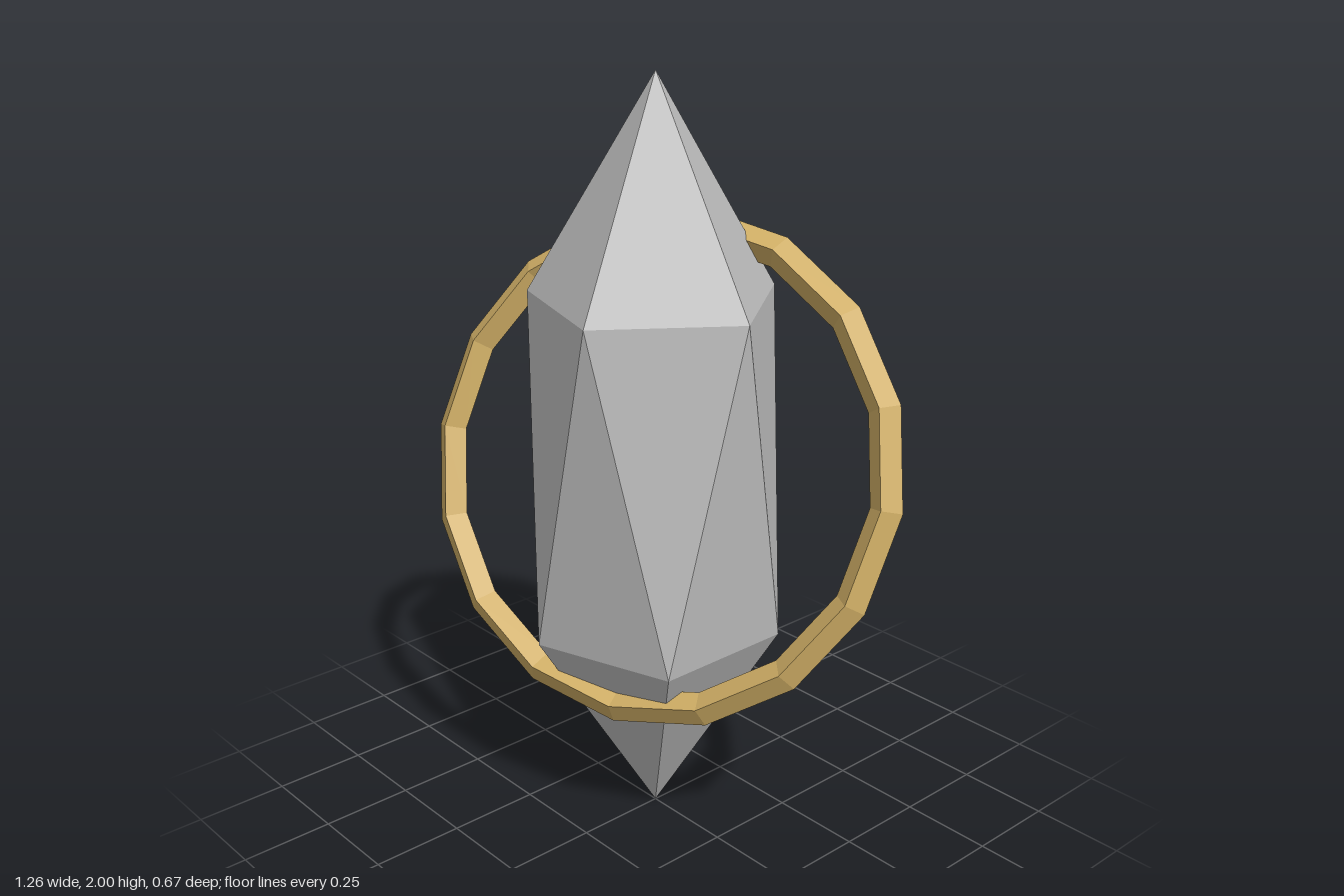
import * as THREE from 'three';

const stone = new THREE.MeshStandardMaterial({ color: 0xbcbcbc });
stone.name = 'grey crystal';
const gold = new THREE.MeshStandardMaterial({ color: 0xcdac64 });
gold.name = 'gold';

// Gives every face its own flat normal
function faceted(geometry) {
  const g = geometry.index ? geometry.toNonIndexed() : geometry;
  g.computeVertexNormals();
  return g;
}

export function createModel() {
  const group = new THREE.Group();
  group.name = 'ringedCrystal';

  // Crystal: icosahedron stood on one corner and stretched upwards
  const goldenRatio = (1 + Math.sqrt(5)) / 2;
  const shape = new THREE.IcosahedronGeometry(1, 0);
  shape.rotateZ(-Math.atan(1 / goldenRatio));
  shape.scale(0.37, 1, 0.37);
  const crystal = new THREE.Mesh(faceted(shape), stone);
  crystal.name = 'crystal';
  crystal.position.y = 1;
  group.add(crystal);

  // Tilted ring with a diamond cross-section
  const ring = new THREE.Mesh(faceted(new THREE.TorusGeometry(0.63, 0.042, 4, 16)), gold);
  ring.name = 'ring';
  ring.position.y = 1;
  ring.rotation.set(-0.35, 0.35, 0, 'YXZ');
  group.add(ring);

  return group;
}
